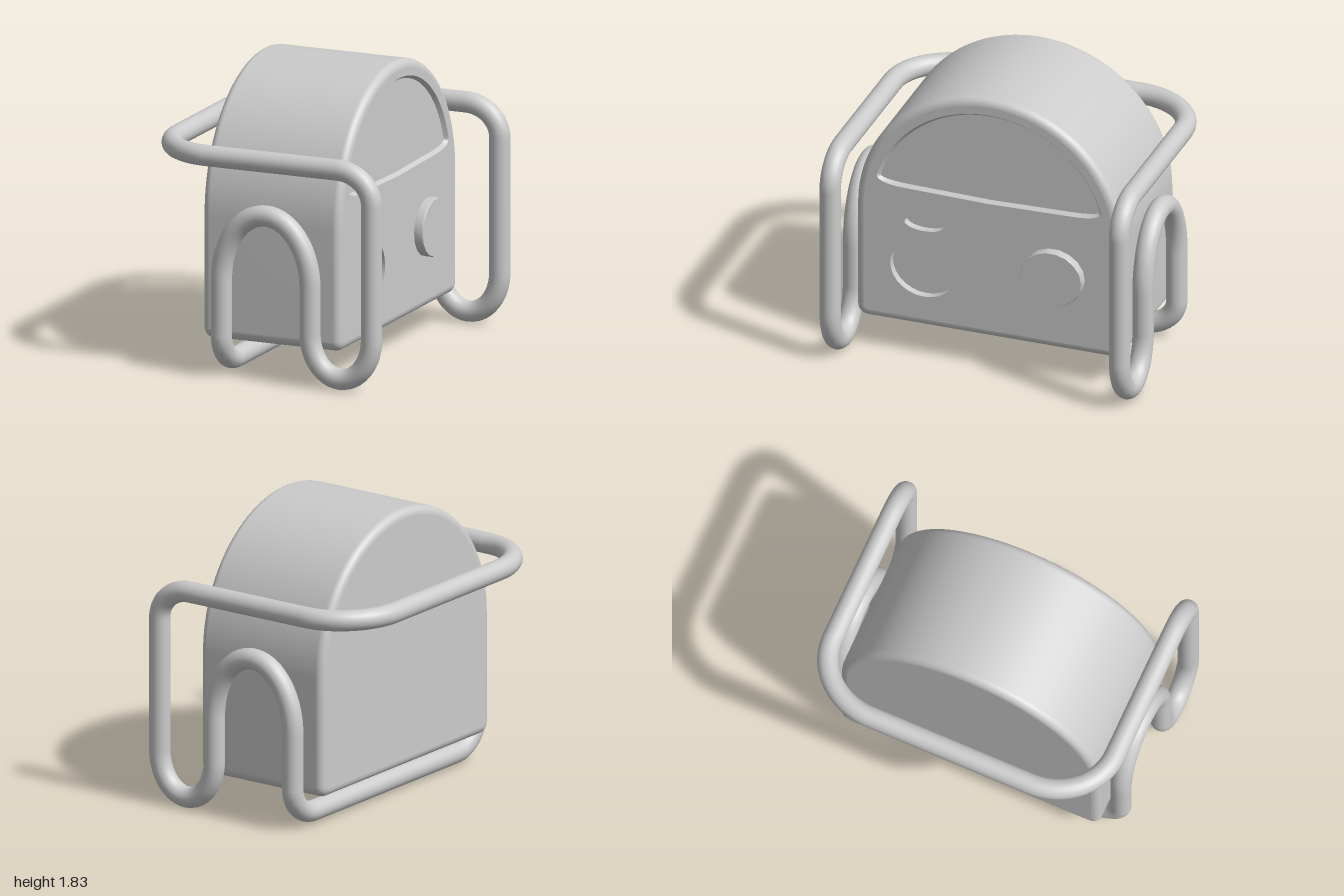
import * as THREE from 'three';

const material = new THREE.MeshStandardMaterial({ color: 0xcccccc });
const BACK = -0.43, FACE = 0.49, BEVEL = 0.05;

function addMesh(parent, name, geometry) {
  const mesh = new THREE.Mesh(geometry, material);
  mesh.name = name;
  parent.add(mesh);
  return mesh;
}

// Points along an elliptical arc, angles in degrees
function arc(cx, cy, rx, ry, from, to, n) {
  return Array.from({ length: n + 1 }, (_, i) => {
    const a = THREE.MathUtils.degToRad(from + (to - from) * i / n);
    return new THREE.Vector2(cx + rx * Math.cos(a), cy + ry * Math.sin(a));
  });
}

const ellipse = (cx, cy, rx, ry, n) => arc(cx, cy, rx, ry, 0, 360, n).slice(0, -1);

// Skin between closed outlines of equal point count; rings = [[points, depth], ...]
function loft(rings) {
  const n = rings[0][0].length, pos = [], index = [];
  for (const [pts, w] of rings) for (const p of pts) pos.push(p.x, p.y, w);
  for (let i = 0; i < rings.length - 1; i++) {
    for (let j = 0; j < n; j++) {
      const a = i * n + j, b = i * n + (j + 1) % n;
      index.push(a, b, b + n, a, b + n, a + n);
    }
  }
  const g = new THREE.BufferGeometry();
  g.setAttribute('position', new THREE.Float32BufferAttribute(pos, 3));
  g.setIndex(index);
  g.computeVertexNormals();
  return g;
}

// Domed body outline, shrunk by an inset
function bodyOutline(inset) {
  const a = 0.86 - inset, y0 = 0.215 + inset, r = 0.065 - inset * 0.7;
  return [
    ...arc(a - r, y0 + r, r, r, -90, 0, 6),
    ...arc(0, 0.98, a, 0.86 - inset, 0, 180, 64),
    ...arc(-a + r, y0 + r, r, r, 180, 270, 6),
  ];
}

// D-shaped window outline with soft lower corners
function windowOutline(inset) {
  const r = 0.757 - inset, low = 1.13 + inset;
  const pts = arc(0, 0.98, r, r, 17, 163, 48);
  const first = pts[0], last = pts[pts.length - 1];
  const corner = (p0, c, p1) => new THREE.QuadraticBezierCurve(p0, c, p1).getPoints(8);
  const v = (x, y) => new THREE.Vector2(x, y);
  const right = corner(v(0.56 - inset, low + 0.012), v(0.73 - inset, low + 0.02), first);
  const left = corner(last, v(-0.73 + inset, low + 0.02), v(-0.56 + inset, low + 0.012));
  return [v(0, low), ...right.slice(0, -1), ...pts, ...left.slice(1)];
}

// Hollow pressed into the face: wall plus floor
function pocket(parent, name, rim, floor, depth) {
  addMesh(parent, name + 'Wall', loft([[rim, FACE], [floor, FACE - depth]]));
  addMesh(parent, name + 'Floor', new THREE.ShapeGeometry(new THREE.Shape(floor)).translate(0, 0, FACE - depth));
}

function createBody() {
  const body = new THREE.Group();
  body.name = 'body';

  // Shell with rounded edges front and back
  const rings = [];
  for (let i = 0; i <= 6; i++) {
    const a = i / 6 * Math.PI / 2;
    rings.push([BEVEL * (1 - Math.sin(a)), BACK + BEVEL * (1 - Math.cos(a))]);
  }
  for (let i = 6; i >= 0; i--) rings.push([rings[i][0], FACE + BACK - rings[i][1]]);
  addMesh(body, 'shell', loft(rings.map(([inset, w]) => [bodyOutline(inset), w])));
  addMesh(body, 'backPanel', new THREE.ShapeGeometry(new THREE.Shape(bodyOutline(BEVEL)))
    .rotateY(Math.PI).translate(0, 0, BACK));

  // Face panel with openings for the hollows
  const windowRim = windowOutline(0);
  const slot = ellipse(-0.42, 0.915, 0.127, 0.047, 32);
  const dial = ellipse(-0.42, 0.617, 0.218, 0.198, 28);
  const face = new THREE.Shape(bodyOutline(BEVEL));
  for (const rim of [windowRim, slot, dial]) face.holes.push(new THREE.Path(rim));
  addMesh(body, 'facePanel', new THREE.ShapeGeometry(face).translate(0, 0, FACE));
  pocket(body, 'window', windowRim, windowOutline(0.018), 0.025);
  pocket(body, 'slot', slot, slot, 0.05);
  pocket(body, 'dialRecess', dial, dial, 0.05);

  // Raised round knob
  const knobRim = ellipse(0.42, 0.718, 0.2, 0.182, 18);
  const knobTop = ellipse(0.42, 0.718, 0.196, 0.178, 18);
  addMesh(body, 'knobSide', loft([[knobRim, FACE - 0.01], [knobRim, 0.54], [knobTop, 0.547]]));
  addMesh(body, 'knobTop', new THREE.ShapeGeometry(new THREE.Shape(knobTop)).translate(0, 0, 0.547));

  body.rotation.y = Math.PI / 2; // details face +x
  return body;
}

// One continuous bent tube: handle, side loops and foot bar
function createFrame() {
  const Z = 0.935;
  // Half path from the handle's middle to the foot bar's middle: [point, corner bent around or null]
  const half = [
    [[-0.735, 1.38, 0]],
    [[-0.735, 1.38, 0.53]],
    [[-0.36, 1.38, Z], [-0.735, 1.38, Z]],
    [[0.51, 1.38, Z]],
    [[0.735, 1.18, Z], [0.735, 1.38, Z]],
    [[0.735, 0.34, Z]],
    [[0.53, 0.075, Z], [0.735, 0.075, Z]],
    [[0.325, 0.34, Z], [0.325, 0.075, Z]],
    [[0.325, 0.62, Z]],
    [[0.03, 1.043, Z], [0.325, 1.043, Z]],
    [[-0.265, 0.62, Z], [-0.265, 1.043, Z]],
    [[-0.265, 0.27, Z]],
    [[-0.265, 0.085, 0.72], [-0.265, 0.085, Z]],
    [[-0.265, 0.085, 0]],
  ];
  const path = new THREE.CurvePath();
  const K = 0.5523;
  const add = (p, q, c, s) => {
    const v = a => new THREE.Vector3(a[0], a[1], a[2] * s);
    const a = v(p), b = v(q);
    if (!c) return path.add(new THREE.LineCurve3(a, b));
    const k = v(c);
    path.add(new THREE.CubicBezierCurve3(a, a.clone().lerp(k, K), b.clone().lerp(k, K), b));
  };
  for (let i = 1; i < half.length; i++) add(half[i - 1][0], half[i][0], half[i][1], 1);
  for (let i = half.length - 1; i > 0; i--) add(half[i][0], half[i - 1][0], half[i][1], -1);
  path.arcLengthDivisions = 1200;
  return new THREE.TubeGeometry(path, 480, 0.065, 20, true);
}

export function createModel() {
  const model = new THREE.Group();
  model.name = 'model';
  model.add(createBody());
  addMesh(model, 'tubeFrame', createFrame());
  return model;
}
